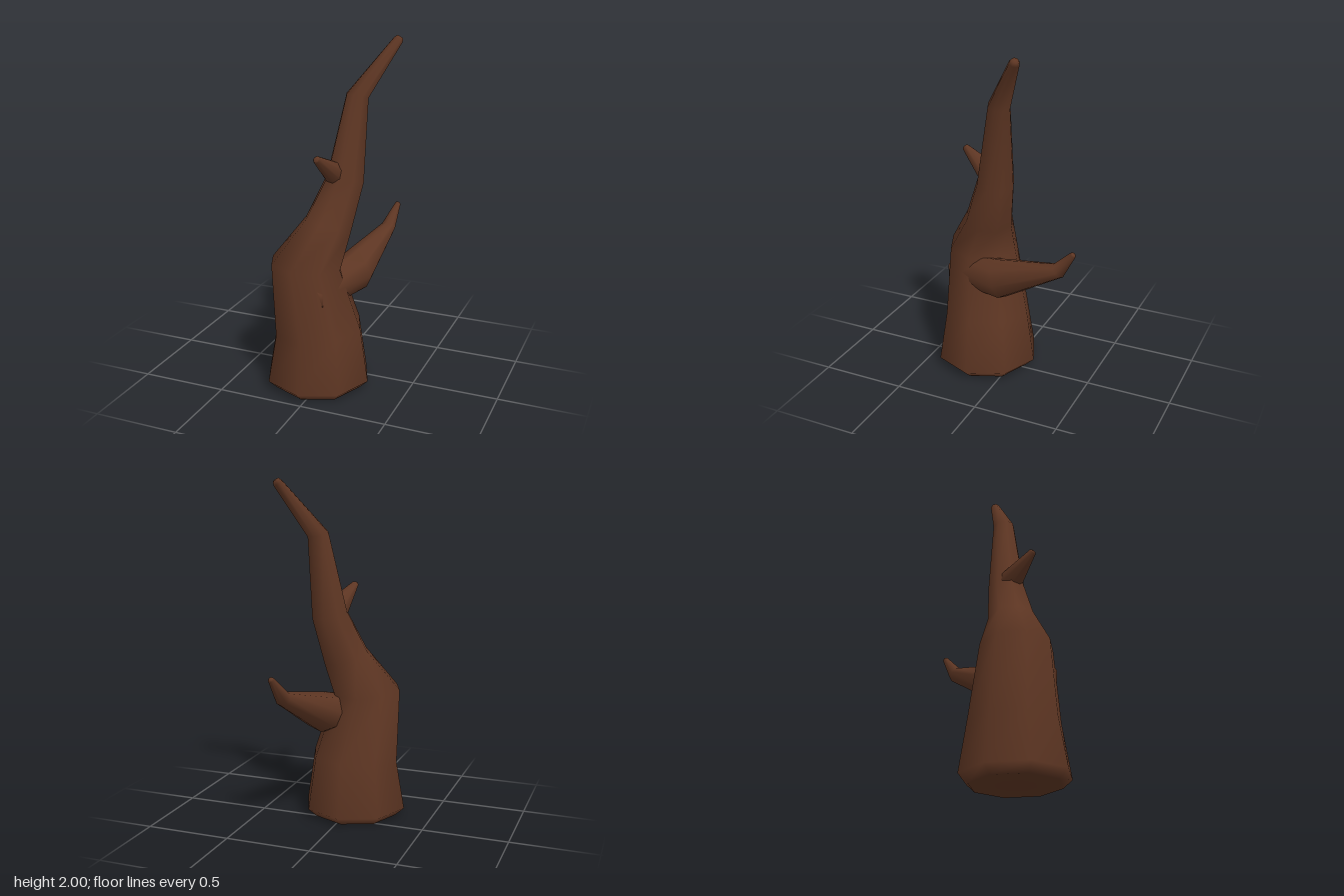
import * as THREE from 'three';

const SIDES = 8;

// Smooth limb through rings given as [x, y, z, radius, axisX, axisY, axisZ], closed at both ends
function limb(name, rings, material) {
  const up = new THREE.Vector3(0, 1, 0);
  const positions = [];
  const index = [];
  for (const [x, y, z, r, ax, ay, az] of rings) {
    const turn = new THREE.Quaternion().setFromUnitVectors(up, new THREE.Vector3(ax, ay, az).normalize());
    for (let i = 0; i < SIDES; i++) {
      const a = (i / SIDES) * Math.PI * 2;
      const p = new THREE.Vector3(Math.cos(a) * r, 0, Math.sin(a) * r).applyQuaternion(turn);
      positions.push(p.x + x, p.y + y, p.z + z);
    }
  }
  const last = rings.length - 1;
  const start = rings.length * SIDES;
  positions.push(...rings[0].slice(0, 3), ...rings[last].slice(0, 3));
  for (let i = 0; i < SIDES; i++) {
    const j = (i + 1) % SIDES;
    for (let k = 0; k < last; k++) {
      const a = k * SIDES + i;
      const b = k * SIDES + j;
      index.push(a, a + SIDES, b, b, a + SIDES, b + SIDES);
    }
    index.push(start, i, j, start + 1, last * SIDES + j, last * SIDES + i);
  }
  const geometry = new THREE.BufferGeometry();
  geometry.setAttribute('position', new THREE.Float32BufferAttribute(positions, 3));
  geometry.setIndex(index);
  geometry.computeVertexNormals();
  const mesh = new THREE.Mesh(geometry, material);
  mesh.name = name;
  return mesh;
}

export function createModel() {
  const group = new THREE.Group();
  group.name = 'deadTree';
  const bark = new THREE.MeshStandardMaterial({ color: 0x5e3623 });
  bark.name = 'brown bark';

  // Leaning trunk with a bevelled foot and a bent, tapering top
  group.add(limb('trunk', [
    [-0.03, 0, 0.172, 0.255, 0, 1, 0],
    [-0.03, 0.05, 0.172, 0.309, 0, 1, 0],
    [-0.03, 0.35, 0.17, 0.26, -0.07, 1, 0.04],
    [-0.083, 0.745, 0.218, 0.207, 0.08, 1, -0.05],
    [0.018, 0.965, 0.13, 0.14, 0.22, 1, -0.22],
    [0.09, 1.22, 0.055, 0.11, 0.14, 1, -0.12],
    [0.14, 1.68, 0.007, 0.065, 0.15, 1, -0.15],
    [0.31, 1.968, -0.16, 0.029, 0.5, 1, -0.5],
    [0.318, 1.984, -0.168, 0.02, 0.5, 1, -0.5],
  ], bark));

  // Thick side branch growing backwards out of the trunk
  group.add(limb('sideBranch', [
    [0, 0.59, 0.35, 0.09, 0.3, 0.15, -1],
    [0.12, 0.645, 0.01, 0.119, 0.05, 0.26, -1],
    [0.198, 0.81, -0.375, 0.045, 0.05, 0.8, -1],
    [0.226, 0.934, -0.468, 0.018, 0.1, 1, -0.8],
    [0.227, 0.941, -0.473, 0.012, 0.1, 1, -0.8],
  ], bark));

  // Small twig on the front
  group.add(limb('twig', [
    [0.06, 1.24, 0.09, 0.074, -0.25, 0.65, 1],
    [0.012, 1.371, 0.278, 0.021, -0.15, 0.7, 1],
    [0.011, 1.375, 0.284, 0.015, -0.15, 0.7, 1],
  ], bark));

  return group;
}
